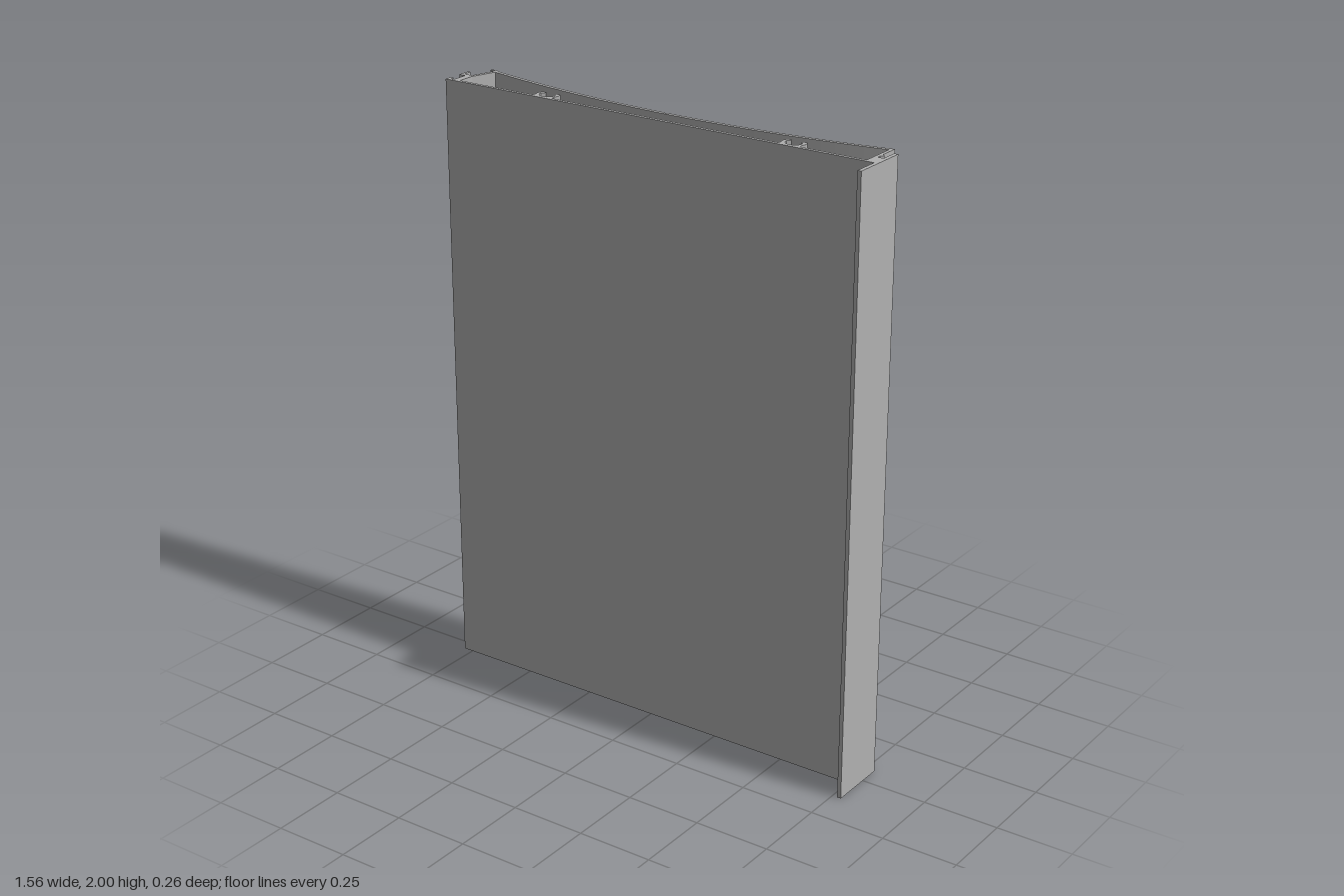
import * as THREE from 'three';
import { toCreasedNormals } from 'three/addons/utils/BufferGeometryUtils.js';

const HEIGHT = 2;

export function createModel() {
  const group = new THREE.Group();
  group.name = 'extrudedPanel';
  const aluminium = new THREE.MeshStandardMaterial({ color: 0xb0b0b0 });
  aluminium.name = 'greyAluminium';

  // Extrude a plan outline of [x, z] points up the full height
  function profile(name, points) {
    const shape = new THREE.Shape(points.map(([x, z]) => new THREE.Vector2(x, -z)));
    const extruded = new THREE.ExtrudeGeometry(shape, { depth: HEIGHT, bevelEnabled: false, steps: 1 });
    extruded.rotateX(-Math.PI / 2);
    const mesh = new THREE.Mesh(toCreasedNormals(extruded, 0.3), aluminium);
    mesh.name = name;
    group.add(mesh);
  }
  const bar = (name, x0, x1, z0, z1) =>
    profile(name, [[x0, z0], [x1, z0], [x1, z1], [x0, z1]]);

  // Flat front sheet and the deep flange on its left edge
  bar('frontSheet', -0.784, 0.768, 0.028, 0.04);
  bar('sideFlange', 0.767, 0.78, -0.07, 0.13);
  bar('flangeBlock', 0.738, 0.768, -0.012, 0.029);

  // Concave back sheet with a fine groove down its middle
  const curve = (x) => -0.041 - 0.143 * (x - 0.06) ** 2;
  const xs = [];
  const x0 = -0.72, x1 = 0.747, half = 20;
  for (let i = 0; i <= half; i++) xs.push(x0 + ((-0.004 - x0) * i) / half);
  for (let i = 0; i <= half; i++) xs.push(0.004 + ((x1 - 0.004) * i) / half);
  const outer = xs.map((x) => [x, curve(x)]);
  const inner = xs.map((x) => [x, curve(x) + 0.013]).reverse();
  outer.splice(half + 1, 0, [-0.004, curve(0) + 0.005], [0.004, curve(0) + 0.005]);
  profile('curvedBackSheet', [...outer, ...inner]);
  profile('backSheetLip', [[-0.738, -0.133], [-0.72, -0.133], [-0.695, -0.122],
    [-0.705, -0.116], [-0.722, -0.125], [-0.738, -0.125]]);

  // Straight side wall with a small snap ridge
  profile('straightSideWall', [[0.736, -0.1], [0.747, -0.1], [0.747, -0.042],
    [0.756, -0.034], [0.747, -0.024], [0.747, 0.029], [0.736, 0.029]]);

  // Slanted side wall, its foot and the clip channel
  profile('slantedSideWall', [[-0.72, -0.124], [-0.707, -0.119], [-0.735, -0.03], [-0.748, -0.03]]);
  bar('wallFoot', -0.76, -0.735, -0.035, 0.029);
  bar('clipShelf', -0.776, -0.735, -0.04, -0.027);
  bar('clipLipBack', -0.784, -0.774, -0.07, -0.027);
  bar('clipLipFront', -0.784, -0.774, 0.015, 0.029);

  // Screw channels open towards the back
  const outside = [[0.038, 0.029], [0.035, 0.017], [0.04, 0], [0.034, -0.018],
    [0.019, -0.018], [0.017, -0.012]];
  const inside = [[0.027, 0], [0.024, 0.014], [0.013, 0.024]];
  const side = [...outside, ...inside];
  for (const cx of [-0.412, 0.478]) {
    profile('screwChannel', [
      ...side.map(([x, z]) => [cx + x, z]),
      [cx, 0.027],
      ...side.map(([x, z]) => [cx - x, z]).reverse(),
    ]);
  }
  return group;
}
